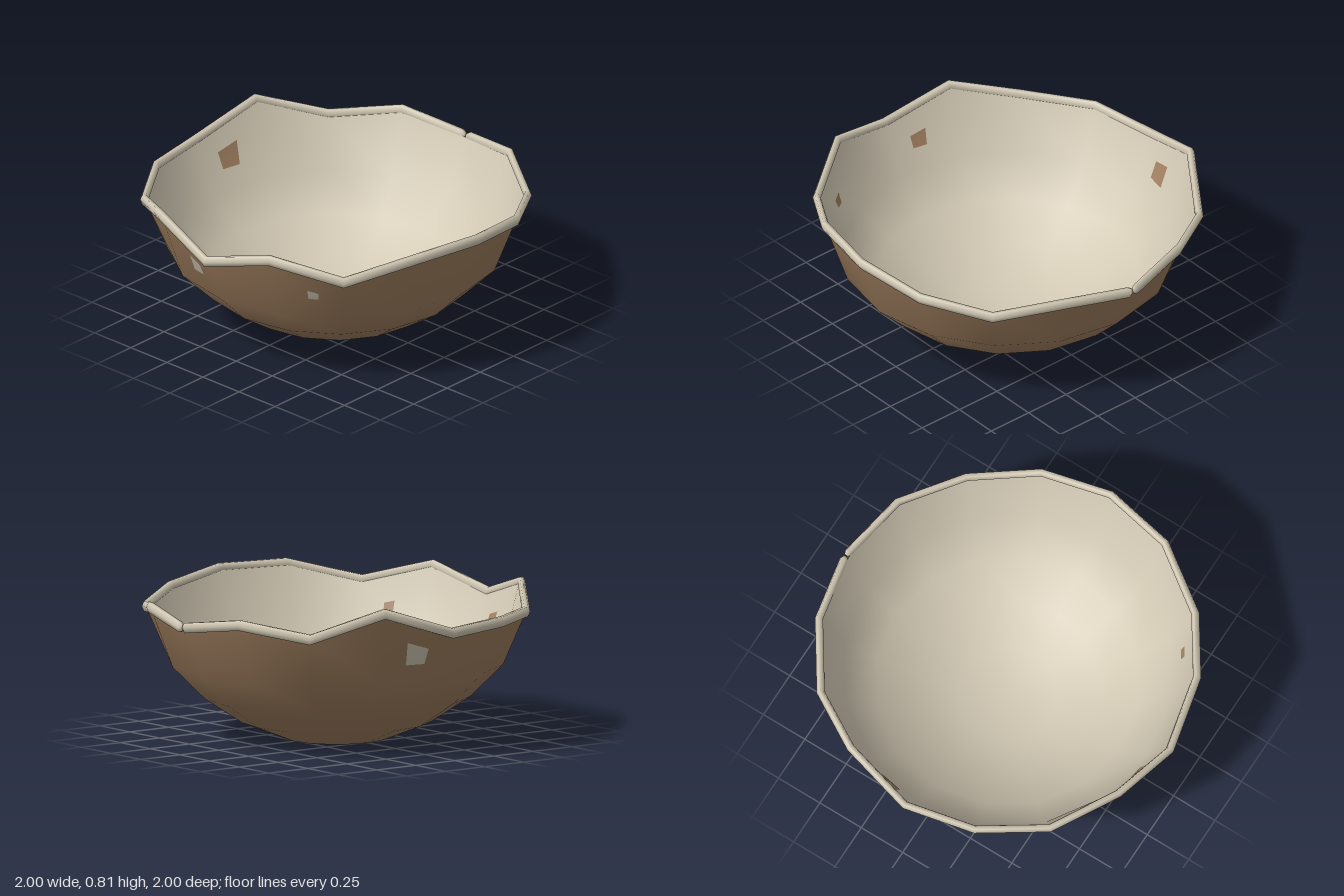
import * as THREE from 'three';

const SIDES = 16;
// Height of the broken edge at each corner, from +x round towards +z
const RIM = [0.655, 0.705, 0.65, 0.695, 0.745, 0.745, 0.655, 0.752, 0.65,
  0.757, 0.665, 0.67, 0.655, 0.78, 0.65, 0.705];
const RIM_RADIUS = 0.978;
// Bowl profile below the edge: radius, height
const PROFILE = [[0, 0], [0.27, 0], [0.495, 0.09], [0.69, 0.22], [0.86, 0.39]];

// Smooth surface from a grid of points; an inward grid folds its quads along the other diagonal
function gridGeometry(rows, cols, wrapRows, wrapCols, point, inward = false) {
  const pos = [], index = [];
  for (let r = 0; r < rows; r++) for (let c = 0; c < cols; c++) pos.push(...point(r, c));
  const id = (r, c) => (r % rows) * cols + (c % cols);
  for (let r = 0; r < (wrapRows ? rows : rows - 1); r++) {
    for (let c = 0; c < (wrapCols ? cols : cols - 1); c++) {
      const b0 = id(r, c), b1 = id(r, c + 1), t0 = id(r + 1, c), t1 = id(r + 1, c + 1);
      if (inward) index.push(b0, b1, t0, b1, t1, t0);
      else index.push(b0, t0, t1, b0, t1, b1);
    }
  }
  const geo = new THREE.BufferGeometry();
  geo.setAttribute('position', new THREE.Float32BufferAttribute(pos, 3));
  geo.setIndex(index);
  geo.computeVertexNormals();
  return geo;
}

const polar = (radius, y, angle) => [radius * Math.cos(angle), y, radius * Math.sin(angle)];

// One wall of the bowl, shrunk by its inset
function wallGeometry(inset, inward) {
  return gridGeometry(PROFILE.length + 1, SIDES, false, true, (r, c) => {
    const angle = (c / SIDES) * Math.PI * 2;
    if (r === PROFILE.length) return polar(RIM_RADIUS - inset, RIM[c], angle);
    const [radius, y] = PROFILE[r];
    return polar(Math.max(0, radius - inset), y + (r < 4 ? inset : 0), angle);
  }, inward);
}

// Rounded lip along the broken edge, with its two ends meeting at +x
function lipGeometry() {
  const step = (Math.PI * 2) / SIDES;
  const stations = [[0.004, 0, 0], [0.006, 0, 0.6], [0.025, 0, 1]];
  for (let i = 1; i < SIDES; i++) stations.push([i * step, i, 1]);
  for (const [a, i, s] of stations.slice(0, 3).reverse()) stations.push([Math.PI * 2 - a, i, s]);
  const around = 6;
  return gridGeometry(around, stations.length, true, false, (r, c) => {
    const [angle, corner, scale] = stations[c];
    const phi = (r / around) * Math.PI * 2;
    return polar(RIM_RADIUS + 0.021 * scale * Math.cos(phi),
      RIM[corner] + 0.03 * scale * Math.sin(phi), angle);
  });
}

export function createModel() {
  const shellBrown = new THREE.MeshStandardMaterial({ color: 0xa07f5f, side: THREE.DoubleSide });
  shellBrown.name = 'shellBrown';
  const fleshCream = new THREE.MeshStandardMaterial({ color: 0xd2c9b4, side: THREE.DoubleSide });
  fleshCream.name = 'fleshCream';

  const group = new THREE.Group();
  group.name = 'brokenShellBowl';
  const add = (name, geo, mat) => {
    const mesh = new THREE.Mesh(geo, mat);
    mesh.name = name;
    group.add(mesh);
  };
  add('outerShell', wallGeometry(0, false), shellBrown);
  add('innerLining', wallGeometry(0.0145, true), fleshCream);
  add('rimLip', lipGeometry(), fleshCream);
  return group;
}
